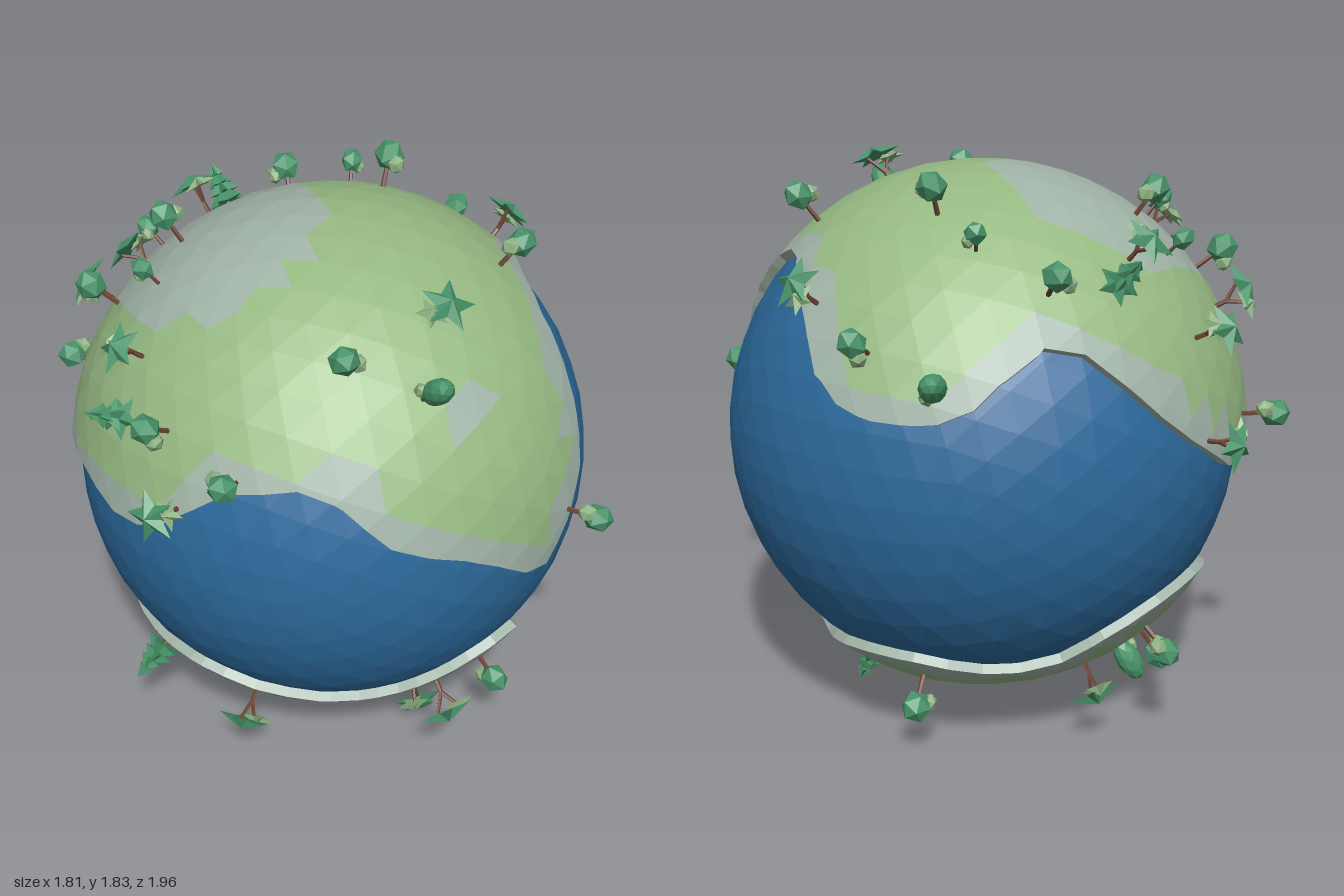
import * as THREE from 'three';
import { mergeGeometries } from 'three/addons/utils/BufferGeometryUtils.js';

const paint = (name, color) => {
  const m = new THREE.MeshStandardMaterial({ color, flatShading: true });
  m.name = name;
  return m;
};
const OCEAN = paint('ocean blue', 0x2c699b);
const GRASS = paint('grass green', 0x96b982);
const ROCK = paint('rock grey', 0xa2b4a8);
const LEAF = paint('leaf green', 0x48946a);
const PALE = paint('pale leaf', 0x8db181);
const BARK = paint('bark brown', 0x6e4535);

const OCEAN_R = 0.82, LAND_R = 0.852;

// Coastlines as [azimuth, latitude] in degrees; azimuth 0 is the front, 90 is +x
const NORTH_COAST = [[0, -5], [6, 0], [16, 12], [21.6, 26], [31.6, 40], [46, 46], [60, 44], [68, 38],
  [76, 36], [82, 28], [89, 21], [101, 17.5], [115, 18], [127, 23], [132, 30], [138, 33], [148, 31],
  [158, 22], [168, 12], [177, 6], [188, -1], [196, -2.5], [208, 2], [225, 8], [243, 10], [261, 7.5],
  [273, 13], [283, 23], [298, 26], [306, 27.5], [321.5, 13.5], [341.5, 6], [350, -2]];
const SOUTH_COAST = [[0, -27], [6.6, -33], [20, -44], [37, -50], [57, -50], [77, -45], [92, -43],
  [107, -43], [127, -48], [145, -47], [156, -38], [170, -30], [186, -27], [200, -29], [213, -34],
  [238, -36], [270, -34], [282, -36], [298, -41], [315, -44.5], [324, -43], [337, -36], [349, -28]];

function coastLatitude(table, azimuth) {
  const a = (azimuth + 720) % 360;
  for (let i = 0; i < table.length; i++) {
    const [a0, l0] = table[i];
    const [a1, l1] = i + 1 < table.length ? table[i + 1] : [360, table[0][1]];
    if (a >= a0 && a <= a1) return l0 + (l1 - l0) * (a - a0) / (a1 - a0);
  }
  return table[0][1];
}

// Degrees of latitude inside the coast (positive is land)
function inland(v, table, side, turn = 0) {
  const lat = THREE.MathUtils.radToDeg(Math.asin(v.y / v.length()));
  const az = THREE.MathUtils.radToDeg(Math.atan2(v.x, v.z));
  return side * (lat - coastLatitude(table, az + turn));
}

function flatGeometry(points) {
  const g = new THREE.BufferGeometry().setFromPoints(points);
  g.computeVertexNormals();
  return g;
}

// A continent: sphere facets cut along the coast, with a wall down to the sea
function makeContinent(name, table, side, rockPatches) {
  const pos = new THREE.IcosahedronGeometry(LAND_R, 7).toNonIndexed?.().attributes.position;
  const grass = [], rock = [], wall = [];
  for (let i = 0; i < pos.count; i += 3) {
    const tri = [0, 1, 2].map(k => new THREE.Vector3().fromBufferAttribute(pos, i + k));
    const f = tri.map(v => inland(v, table, side));
    const poly = [];
    let leave, enter;
    for (let k = 0; k < 3; k++) {
      const n = (k + 1) % 3;
      if (f[k] >= 0) poly.push(tri[k]);
      if ((f[k] >= 0) !== (f[n] >= 0)) {
        const cut = tri[k].clone().lerp(tri[n], f[k] / (f[k] - f[n]));
        poly.push(cut);
        if (f[k] >= 0) leave = cut; else enter = cut;
      }
    }
    if (poly.length < 3) continue;
    const mid = tri[0].clone().add(tri[1]).add(tri[2]).normalize();
    const nearShore = Math.min(...[-6, 0, 6].map(t => inland(mid, table, side, t))) < 4.5;
    const inPatch = rockPatches.some(([x, y, z, deg]) =>
      mid.angleTo(new THREE.Vector3(x, y, z)) < THREE.MathUtils.degToRad(deg));
    const target = nearShore || inPatch ? rock : grass;
    for (let k = 1; k + 1 < poly.length; k++) target.push(poly[0], poly[k], poly[k + 1]);
    if (leave && enter) {
      const low = v => v.clone().multiplyScalar(0.945);
      wall.push(enter, leave, low(leave), enter, low(leave), low(enter));
    }
  }
  const group = new THREE.Group();
  group.name = name;
  for (const [part, pts, mat] of [['grassland', grass, GRASS], ['rockyGround', rock, ROCK], ['coastWall', wall, ROCK]]) {
    const mesh = new THREE.Mesh(flatGeometry(pts), mat);
    mesh.name = part;
    group.add(mesh);
  }
  return group;
}

// Tree pieces, grown along +y
function blob(rx, ry, x, y, z, detail = 0) {
  return new THREE.IcosahedronGeometry(1, detail).scale(rx, ry, rx * 0.9).rotateY(x * 40).translate(x, y, z);
}

function branch(from, to, r) {
  const a = new THREE.Vector3(...from), d = new THREE.Vector3(...to).sub(a);
  const g = new THREE.CylinderGeometry(r * 0.75, r, d.length(), 5);
  g.applyQuaternion(new THREE.Quaternion().setFromUnitVectors(new THREE.Vector3(0, 1, 0), d.clone().normalize()));
  return g.translate(...a.addScaledVector(d, 0.5).toArray());
}

// Cone whose rim alternates between long points and notches
function starCone(points, r, h, y, turn = 0, x = 0, z = 0) {
  const g = new THREE.ConeGeometry(r, h, points * 2, 1);
  const p = g.attributes.position;
  for (let i = 0; i < p.count; i++) {
    const step = Math.round((Math.atan2(p.getX(i), p.getZ(i)) / Math.PI + 2) * points);
    if (step % 2) { p.setX(i, p.getX(i) * 0.45); p.setZ(i, p.getZ(i) * 0.45); }
  }
  return g.rotateY(turn).translate(x, y, z);
}

const TREES = {
  round: {
    bark: [branch([0, -0.02, 0], [0, 0.09, 0], 0.009)],
    leaf: [blob(0.05, 0.052, 0, 0.108, 0)],
    pale: [blob(0.03, 0.032, 0.038, 0.085, 0.012)],
  },
  tall: {
    bark: [branch([0, -0.02, 0], [0, 0.08, 0], 0.009)],
    leaf: [blob(0.043, 0.08, 0, 0.125, 0, 1)],
    pale: [blob(0.024, 0.036, 0.034, 0.085, 0.01)],
  },
  small: {
    bark: [branch([0, -0.02, 0], [0, 0.06, 0], 0.007)],
    leaf: [blob(0.036, 0.042, 0, 0.08, 0)],
    pale: [blob(0.02, 0.024, -0.026, 0.062, 0.01)],
  },
  flat: {
    bark: [branch([0, -0.02, 0], [0, 0.06, 0], 0.009), branch([0, 0.045, 0], [0.045, 0.11, 0], 0.007),
      branch([0, 0.045, 0], [-0.03, 0.1, 0.01], 0.007)],
    leaf: [starCone(5, 0.088, 0.035, 0.125, 0.3, 0.015)],
    pale: [starCone(5, 0.055, 0.03, 0.108, 0.9, -0.035, 0.015)],
  },
  pine: {
    bark: [branch([0, -0.02, 0], [0, 0.05, 0], 0.009)],
    leaf: [starCone(5, 0.07, 0.06, 0.06), starCone(5, 0.055, 0.055, 0.09, 0.6),
      starCone(5, 0.042, 0.05, 0.12, 1.1), starCone(5, 0.028, 0.045, 0.15, 1.6)],
    pale: [],
  },
};

// Crown directions from the globe's centre, by kind of tree
const FOREST = {
  round: [[-.29, .12, -.89], [.42, .66, -.545], [.386, .83, -.09], [.8, .48, -.11], [.36, .76, .45],
    [-.46, .74, .41], [-.77, .4, .24], [-.79, .48, -.04], [-.24, .78, -.475], [.12, .08, .94],
    [0, -.65, .68], [.55, -.74, -.13], [-.13, -.74, -.62], [.05, -.6, -.72], [-.445, .58, -.62]],
  tall: [[.815, .41, -.39], [-.32, .65, .63], [-.24, -.86, -.45]],
  small: [[-.175, .68, -.64], [.46, .77, -.29], [-.445, .74, -.41]],
  flat: [[.04, .13, -.96], [-.04, .45, -.84], [-.34, .5, -.79], [.06, .7, -.62], [.73, .59, .16],
    [-.13, .8, .51], [-.9, .28, .07], [-.68, .62, -.28], [-.636, -.718, .145], [-.255, -.6, .68],
    [-.1, -.84, .46], [.2, -.73, -.57]],
  pine: [[.22, .65, -.67], [-.79, .45, -.22], [-.685, -.61, -.22], [.23, -.83, .3]],
};

function makeTrees() {
  const group = new THREE.Group();
  group.name = 'trees';
  for (const [kind, spots] of Object.entries(FOREST)) {
    const pieces = [['trunk', TREES[kind].bark, BARK], ['crown', TREES[kind].leaf, LEAF], ['sideCrown', TREES[kind].pale, PALE]]
      .filter(([, list]) => list.length)
      .map(([n, list, mat]) => [n, mergeGeometries(list.map(g => g.index ? g.toNonIndexed() : g)), mat]);
    spots.forEach((spot, i) => {
      const dir = new THREE.Vector3(...spot).normalize();
      const tree = new THREE.Group();
      tree.name = kind + 'Tree';
      for (const [n, geo, mat] of pieces) {
        const mesh = new THREE.Mesh(geo, mat);
        mesh.name = n;
        tree.add(mesh);
      }
      tree.position.copy(dir).multiplyScalar(LAND_R - 0.008);
      tree.quaternion.setFromUnitVectors(new THREE.Vector3(0, 1, 0), dir);
      tree.rotateY(i * 2.4);
      group.add(tree);
    });
  }
  return group;
}

export function createModel() {
  const model = new THREE.Group();
  model.name = 'woodedGlobe';
  const ocean = new THREE.Mesh(new THREE.IcosahedronGeometry(OCEAN_R, 7), OCEAN);
  ocean.name = 'ocean';
  model.add(
    ocean,
    makeContinent('northContinent', NORTH_COAST, 1, [[-.25, .88, -.37, 25], [-.16, .515, .65, 5]]),
    makeContinent('southContinent', SOUTH_COAST, -1, [[0, -1, 0, 22]]),
    makeTrees(),
  );
  model.position.set(0.027, 0.912, 0);
  return model;
}
